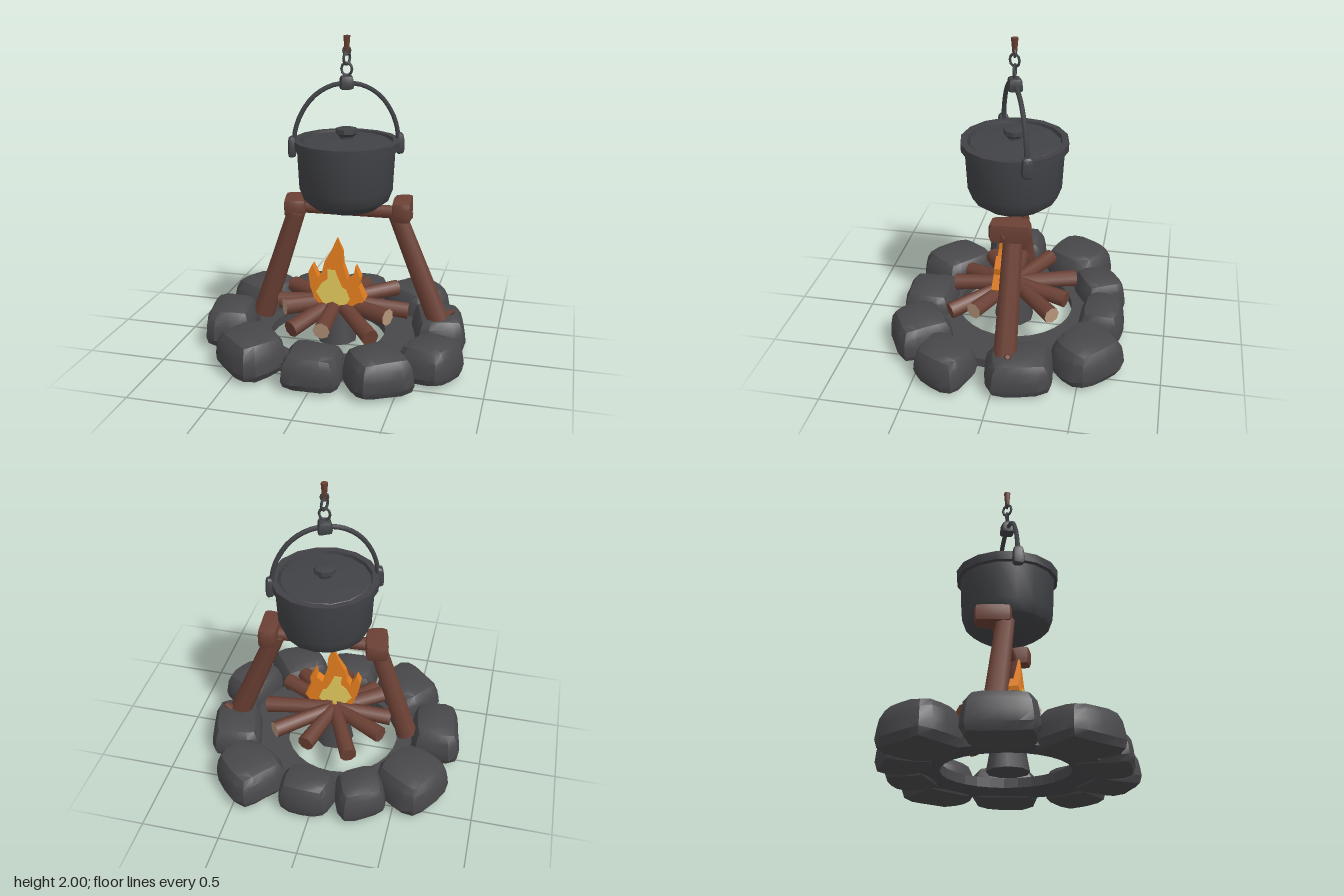
import * as THREE from 'three';
import { mergeVertices, toCreasedNormals } from 'three/addons/utils/BufferGeometryUtils.js';

const mat = (name, color) => Object.assign(new THREE.MeshStandardMaterial({ color }), { name });

export function createModel() {
  const model = new THREE.Group();
  model.name = 'campfireWithPot';
  const stone = mat('stoneGrey', 0x48484b);
  const iron = mat('ironGrey', 0x414246);
  const wood = mat('barkBrown', 0x6b4034);
  const cut = mat('cutWood', 0xb5957a);
  const orange = mat('flameOrange', 0xe07c1e);
  const yellow = mat('flameYellow', 0xe0c65c);

  const V = (x, y, z) => new THREE.Vector3(x, y, z);
  const add = (name, geo, material, parent = model) => {
    const m = new THREE.Mesh(geo, material);
    m.name = name;
    parent.add(m);
    return m;
  };

  // Boxy rounded lump: a box pulled onto a superellipsoid, then gently warped
  const lump = (w, h, d, seed, { power = 4, warp = 0.07, taper = 0.1, crease = 0.55 } = {}) => {
    let g = new THREE.BoxGeometry(2, 2, 2, 4, 4, 4);
    g.deleteAttribute('uv');
    g.deleteAttribute('normal');
    g = mergeVertices(g);
    const p = g.attributes.position, v = V(0, 0, 0);
    for (let i = 0; i < p.count; i++) {
      v.fromBufferAttribute(p, i);
      const n = (Math.abs(v.x) ** power + Math.abs(v.y) ** power + Math.abs(v.z) ** power) ** (1 / power);
      v.divideScalar(n);
      const k = 1 + warp * Math.sin(v.x * 2.3 + seed * 1.7) * Math.cos(v.z * 2.9 + seed * 2.3);
      const t = (1 - taper * v.y) * k;
      p.setXYZ(i, v.x * t * w / 2, v.y * h / 2 * (1 + 0.6 * (k - 1)), v.z * t * d / 2);
    }
    return toCreasedNormals(g, crease);
  };

  // Round bar between two points
  const bar = (name, a, b, ra, rb, material, parent = model, sides = 8) => {
    const dir = b.clone().sub(a);
    const m = add(name, new THREE.CylinderGeometry(rb, ra, dir.length(), sides), material, parent);
    m.position.copy(a).add(b).multiplyScalar(0.5);
    m.quaternion.setFromUnitVectors(V(0, 1, 0), dir.normalize());
    return m;
  };

  // Ring of stones: x, z, tangential width, radial depth, height
  const ring = new THREE.Group();
  ring.name = 'stoneRing';
  model.add(ring);
  [[-0.59, -0.36, 0.40, 0.38, 0.27], [-0.29, -0.54, 0.31, 0.29, 0.24], [0.04, -0.59, 0.34, 0.27, 0.24],
    [0.44, -0.53, 0.40, 0.36, 0.26], [0.64, -0.15, 0.41, 0.33, 0.24], [0.66, 0.31, 0.35, 0.31, 0.24],
    [0.38, 0.54, 0.36, 0.36, 0.25], [0.0, 0.565, 0.36, 0.34, 0.23], [-0.42, 0.475, 0.42, 0.36, 0.25],
    [-0.68, 0.1, 0.40, 0.32, 0.27]].forEach(([x, z, w, d, h], i) => {
    const s = add('stone' + (i + 1), lump(w, h, d, i + 1), stone, ring);
    s.position.set(x, h / 2 + 0.008, z);
    s.rotation.y = Math.atan2(x, z);
  });

  // Low apron of stone inside the ring, open in the middle
  const apron = new THREE.Shape().absarc(0, 0, 0.58, 0, Math.PI * 2);
  apron.holes.push(new THREE.Path().absellipse(-0.06, 0, 0.37, 0.38, 0, Math.PI * 2));
  const apronMesh = add('innerApron', new THREE.ExtrudeGeometry(apron, { depth: 0.06, bevelEnabled: false, curveSegments: 14 }), stone);
  apronMesh.rotation.x = -Math.PI / 2;
  apronMesh.position.y = 0.04;
  const ash = add('ashCore', new THREE.CylinderGeometry(0.09, 0.13, 0.22, 9), stone);
  ash.position.y = 0.16;

  // Firewood fanned out from the middle: end x, end y, end z, pale cut end
  const logs = new THREE.Group();
  logs.name = 'firewood';
  model.add(logs);
  [[-0.18, 0.27, -0.38, 0], [0.11, 0.29, -0.36, 0], [0.33, 0.31, -0.30, 1], [0.46, 0.27, -0.03, 0],
    [0.37, 0.31, 0.19, 1], [0.30, 0.24, 0.36, 0], [0.0, 0.265, 0.39, 1], [-0.21, 0.23, 0.34, 0],
    [-0.29, 0.315, 0.20, 1], [-0.38, 0.28, 0.02, 0], [-0.35, 0.31, -0.19, 0]].forEach(([x, y, z, pale], i) => {
    bar('log' + (i + 1), V(x * 0.05, 0.31, z * 0.05), V(x, y, z), 0.045, 0.054, [wood, pale ? cut : wood, wood], logs);
  });

  // Flame: flat tongues that thin out linearly toward the tip
  const flame = new THREE.Group();
  flame.name = 'flame';
  flame.position.z = 0.065;
  model.add(flame);
  const tongue = (name, pts, extra, material) => {
    const shape = new THREE.Shape(pts.map(([x, y]) => new THREE.Vector2(x, y)));
    const g = new THREE.ExtrudeGeometry(shape, { depth: 1, bevelEnabled: false });
    const p = g.attributes.position;
    for (let i = 0; i < p.count; i++) {
      const half = 0.006 + 0.045 * (0.76 - p.getY(i)) / 0.44 + extra;
      p.setZ(i, (p.getZ(i) * 2 - 1) * half);
    }
    g.computeVertexNormals();
    add(name, g, material, flame);
  };
  tongue('outerFlame', [[-0.11, 0.32], [0.16, 0.32], [0.205, 0.37], [0.165, 0.46], [0.175, 0.51], [0.14, 0.585],
    [0.13, 0.52], [0.09, 0.49], [0.08, 0.53], [0.06, 0.59], [0.055, 0.68], [0.02, 0.76], [-0.015, 0.68],
    [-0.06, 0.60], [-0.075, 0.53], [-0.10, 0.49], [-0.14, 0.575], [-0.165, 0.52], [-0.15, 0.43], [-0.13, 0.38]], 0, orange);
  tongue('innerFlame', [[-0.06, 0.33], [0.085, 0.33], [0.11, 0.37], [0.085, 0.43], [0.06, 0.44], [0.03, 0.50],
    [0.01, 0.55], [-0.04, 0.55], [-0.035, 0.49], [-0.075, 0.46], [-0.11, 0.40]], 0.004, yellow);

  // Wooden stand: two leaning legs, a crossbeam and end blocks
  const stand = new THREE.Group();
  stand.name = 'stand';
  model.add(stand);
  bar('rightLeg', V(-0.495, 0.18, 0.01), V(-0.255, 0.90, 0.035), 0.072, 0.058, wood, stand);
  bar('leftLeg', V(0.66, 0.18, -0.065), V(0.36, 0.92, -0.065), 0.072, 0.058, wood, stand);
  bar('crossbeam', V(-0.30, 0.915, -0.03), V(0.44, 0.915, -0.055), 0.042, 0.042, wood, stand);
  [['rightBlock', -0.28, 0.925, -0.035, 0.14, 0.105, 0.22, 0.2], ['leftBlock', 0.405, 0.94, -0.055, 0.115, 0.125, 0.245, 0.08]]
    .forEach(([name, x, y, z, w, h, d, turn], i) => {
      const b = add(name, lump(w, h, d, i + 3, { power: 9, warp: 0.04, taper: 0 }), wood, stand);
      b.position.set(x, y, z);
      b.rotation.y = turn;
    });
  bar('legSplinter', V(0.67, 0.22, -0.09), V(0.74, 0.275, -0.10), 0.035, 0.015, wood, stand, 5);
  bar('beamStub', V(0.40, 0.915, -0.03), V(0.465, 0.915, 0.0), 0.035, 0.032, wood, stand, 6);

  // Cooking pot with its lid
  const pot = new THREE.Group();
  pot.name = 'cookingPot';
  pot.position.set(0.055, 0, -0.015);
  model.add(pot);
  const lathe = (name, pts, sides) => add(name, toCreasedNormals(new THREE.LatheGeometry(
    pts.map(([r, y]) => new THREE.Vector2(r, y)), sides), 0.6), iron, pot);
  lathe('potBody', [[0, 0.908], [0.11, 0.915], [0.20, 0.945], [0.265, 0.995], [0.293, 1.07], [0.305, 1.31],
    [0.328, 1.315], [0.33, 1.37], [0.29, 1.37], [0.285, 1.345], [0, 1.345]], 16);
  lathe('lid', [[0.286, 1.345], [0.27, 1.36], [0.12, 1.375], [0, 1.378]], 16);
  lathe('lidKnob', [[0.045, 1.37], [0.045, 1.39], [0.07, 1.41], [0.068, 1.437], [0.04, 1.445], [0, 1.445]], 8);

  // Bail handle, lugs and knot, turned to run across the pot
  const bail = new THREE.Group();
  bail.name = 'bailHandle';
  bail.rotation.y = 0.4;
  pot.add(bail);
  const half = [[0.325, 1.30], [0.315, 1.43], [0.275, 1.54], [0.20, 1.64], [0.10, 1.70]];
  const arc = [...half.map(([u, y]) => V(-u, y, 0)), V(0, 1.715, 0), ...half.reverse().map(([u, y]) => V(u, y, 0))];
  add('handleArc', new THREE.TubeGeometry(new THREE.CatmullRomCurve3(arc), 28, 0.015, 6), iron, bail);
  for (const s of [-1, 1]) {
    add('handleLug', lump(0.05, 0.13, 0.07, 2, { warp: 0.04 }), iron, bail).position.set(s * 0.335, 1.335, 0);
  }
  add('handleKnot', lump(0.085, 0.085, 0.085, 5, { power: 5 }), iron, bail).position.set(0, 1.72, 0);

  // Chain links and the rope end above
  const chain = new THREE.Group();
  chain.name = 'chain';
  pot.add(chain);
  [[1.80, 0], [1.865, 1.2], [1.91, 0.3]].forEach(([y, turn], i) => {
    const link = add('chainLink', new THREE.TorusGeometry(i === 2 ? 0.02 : 0.033, 0.008, 6, 10), iron, chain);
    link.position.y = y;
    link.scale.y = 1.15;
    link.rotation.y = turn;
  });
  bar('ropeEnd', V(0, 1.90, 0), V(0, 2.0, 0), 0.013, 0.022, wood, chain, 6);
  return model;
}
